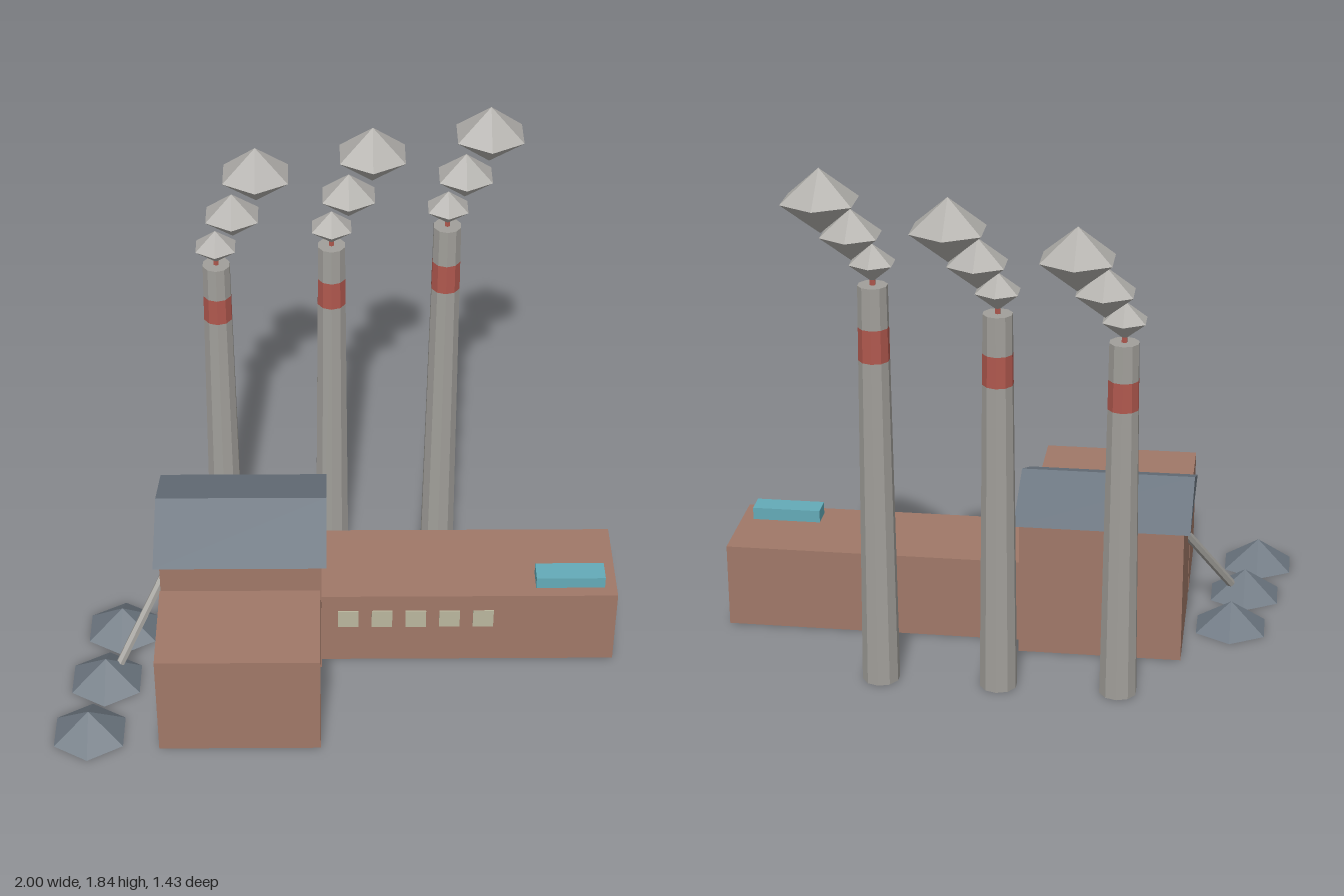
import * as THREE from 'three';

const flat = (name, color) => {
  const m = new THREE.MeshStandardMaterial({ color, flatShading: true, side: THREE.DoubleSide });
  m.name = name;
  return m;
};

export function createModel() {
  const brick = flat('brick', 0xa07868);
  const slate = flat('slate', 0x6c7680);
  const concrete = flat('concrete', 0xa19f9a);
  const red = flat('red', 0xb0584e);
  const smoke = flat('smoke', 0xb2b0ac);
  const glass = flat('window', 0xbab79e);
  const teal = flat('teal', 0x64abb8);

  const model = new THREE.Group();
  model.name = 'factory';
  const add = (parent, name, geometry, material, x = 0, y = 0, z = 0) => {
    const mesh = new THREE.Mesh(geometry, material);
    mesh.name = name;
    mesh.position.set(x, y, z);
    parent.add(mesh);
    return mesh;
  };

  // Box given by its limits; the underside can be left open
  const block = (name, material, [x0, x1], [y0, y1], [z0, z1], open = false) => {
    const g = new THREE.BoxGeometry(x1 - x0, y1 - y0, z1 - z0);
    if (open) {
      const index = Array.from(g.index.array);
      index.splice(18, 6);
      g.setIndex(index);
      g.clearGroups();
    }
    return add(model, name, g, material, (x0 + x1) / 2, (y0 + y1) / 2, (z0 + z1) / 2);
  };

  // Brick buildings
  block('mainHall', brick, [-0.63, -0.06], [0, 0.495], [-0.24, 0.25], true);
  block('frontHall', brick, [-0.63, -0.065], [0, 0.41], [0.29, 0.655], true);
  block('longHall', brick, [-0.06, 1], [0, 0.305], [-0.157, 0.208], true);
  block('skylight', teal, [0.71, 0.957], [0.305, 0.35], [0.083, 0.165]);

  // Row of windows along the long hall
  for (let i = 0; i < 5; i++) {
    const x = 0.035 + i * 0.1215;
    block('window', glass, [x - 0.037, x + 0.037], [0.162, 0.237], [0.206, 0.213]);
  }

  // Gable roof, ridge along x
  const gable = new THREE.Shape();
  gable.moveTo(-0.262, 0.49);
  gable.lineTo(0.262, 0.49);
  gable.lineTo(0, 0.595);
  gable.closePath();
  const roof = new THREE.ExtrudeGeometry(gable, { depth: 0.61, bevelEnabled: false });
  roof.rotateY(Math.PI / 2);
  add(model, 'roof', roof, slate, -0.652, 0, 0.003);

  // Tapered chimneys with a red band and drifting smoke
  const puffShape = new THREE.LatheGeometry(
    [new THREE.Vector2(0, -0.81), new THREE.Vector2(1, 0), new THREE.Vector2(0, 0.81)], 6);
  const puffs = [
    { r: 0.08, x: 0, y: 0.075, z: 0 },
    { r: 0.106, x: 0.06, y: 0.18, z: -0.04 },
    { r: 0.132, x: 0.144, y: 0.308, z: -0.103 },
  ];
  const radiusAt = (t) => 0.065 - 0.015 * t;
  [[-0.43, 1.27], [-0.02, 1.35], [0.387, 1.43]].forEach(([x, height]) => {
    const chimney = new THREE.Group();
    chimney.name = 'chimney';
    chimney.position.set(x, 0, -0.485);
    model.add(chimney);
    const section = (name, t0, t1, material) => add(chimney, name,
      new THREE.CylinderGeometry(radiusAt(t1), radiusAt(t0), (t1 - t0) * height, 10, 1, true),
      material, 0, (t0 + t1) / 2 * height, 0);
    section('shaft', 0, 0.82, concrete);
    section('redBand', 0.82, 0.9, red);
    section('shaftTop', 0.9, 1, concrete);
    const cap = new THREE.CircleGeometry(radiusAt(1), 10);
    cap.rotateX(-Math.PI / 2).rotateY(Math.PI / 2);
    add(chimney, 'cap', cap, concrete, 0, height, 0);
    add(chimney, 'flue', new THREE.CylinderGeometry(0.01, 0.01, 0.04, 6), red, 0, height + 0.02, 0);
    for (const p of puffs) {
      add(chimney, 'smokePuff', puffShape, smoke, p.x, height + p.y, p.z).scale.setScalar(p.r);
    }
  });

  // Heaps beside the main hall
  for (const [x, z] of [[-0.795, 0.04], [-0.837, 0.308], [-0.879, 0.573]]) {
    add(model, 'heap', new THREE.ConeGeometry(0.14, 0.1, 6, 1, true), slate, x, 0.05, z);
  }

  // Sloping conveyor from the middle heap to the hall
  const from = new THREE.Vector3(-0.79, 0.05, 0.28);
  const to = new THREE.Vector3(-0.615, 0.345, 0.09);
  const dir = to.clone().sub(from);
  const conveyor = add(model, 'conveyor',
    new THREE.CylinderGeometry(0.016, 0.016, dir.length(), 6), concrete);
  conveyor.position.copy(from).add(to).multiplyScalar(0.5);
  conveyor.quaternion.setFromUnitVectors(new THREE.Vector3(0, 1, 0), dir.normalize());

  return model;
}
